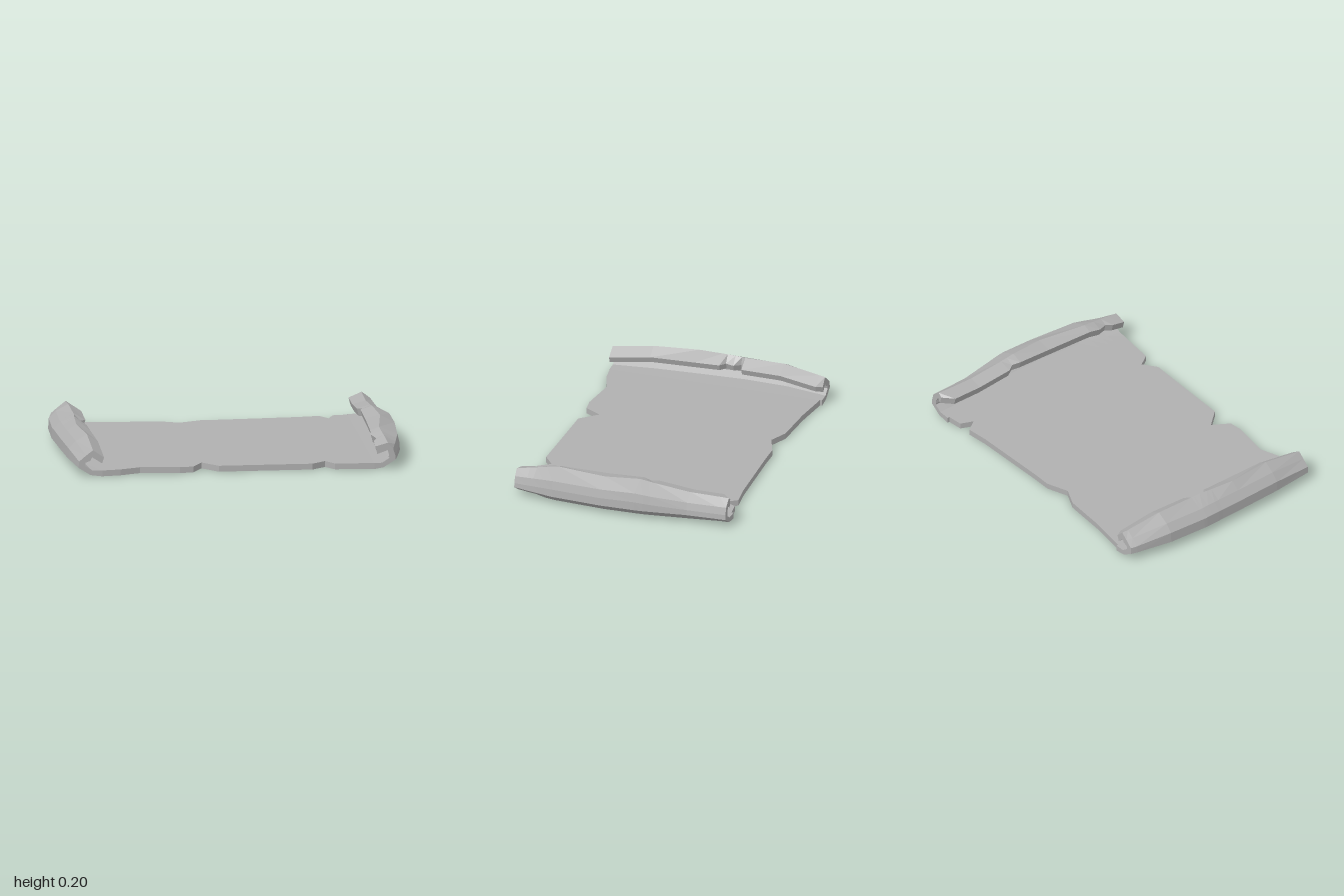
import * as THREE from 'three';

const paper = new THREE.MeshStandardMaterial({ color: 0xb0b0b0 });
paper.name = 'greyPaper';

// Flat sheet with torn notches; outline in (x, z)
function makeSheet() {
  const outline = [
    [-0.8, 0.65], [-0.69, 0.635], [-0.57, 0.59], [-0.34, 0.62], [-0.26, 0.61], [-0.2, 0.51],
    [-0.11, 0.61], [0.2, 0.615], [0.44, 0.62], [0.52, 0.56], [0.57, 0.63], [0.8, 0.65],
    [0.8, -0.645], [0.71, -0.635], [0.68, -0.56], [0.63, -0.63], [0.5, -0.615], [0.05, -0.6],
    [-0.07, -0.6], [-0.2, -0.55], [-0.31, -0.6], [-0.57, -0.615], [-0.8, -0.645],
  ];
  const shape = new THREE.Shape(outline.map(([x, z]) => new THREE.Vector2(x, -z)));
  const geo = new THREE.ExtrudeGeometry(shape, { depth: 0.035, bevelEnabled: false });
  geo.rotateX(-Math.PI / 2);
  return geo;
}

// Closed strip cross-section of a curl: outer face out and up to the tip, inner face back
function curlRing([z, o, r, ry, t], style) {
  const k = ry / 0.205;
  const side = style.side * k, shoulder = style.shoulder * k;
  const lift = Math.abs(z) > 0.5 ? 0.01 : 0.002;
  const sx = o - style.inset;
  const outer = [
    [0.8, 0], [o - 0.07, lift], [o, 0.055], [o - 0.003, side],
    [sx, shoulder], [r, ry], [t, ry - style.tipDrop],
  ];
  const inner = [
    [0.8, 0.035], [o - 0.08, 0.037], [o - 0.037, 0.065], [o - 0.042, side - 0.008],
    [sx - 0.025, shoulder - 0.032], [r + 0.005, ry - 0.042],
    [Math.min(t + 0.012, r + 0.004), ry - style.tipDrop - style.tipThick],
  ];
  return [...outer, ...inner.reverse()].map(([x, y]) => [x, y, z]);
}

// Loft the rings along z, sign mirrors the curl to either side
function makeCurl(sections, style, sign) {
  const rings = sections.map((s) => curlRing(s, style));
  const n = rings[0].length, pos = [], index = [];
  for (const ring of rings) for (const [x, y, z] of ring) pos.push(x * sign, y, z);
  const quad = (a, b, c, d) =>
    sign > 0 ? index.push(a, b, c, a, c, d) : index.push(a, c, b, a, d, c);
  for (let s = 0; s < rings.length - 1; s++) {
    for (let i = 0; i < n; i++) {
      const j = (i + 1) % n, a = s * n, b = a + n;
      quad(a + i, a + j, b + j, b + i);
    }
  }
  // End caps across the paper thickness
  const last = (rings.length - 1) * n;
  for (let i = 0; i < n / 2 - 1; i++) {
    quad(last + i, last + i + 1, last + n - 2 - i, last + n - 1 - i);
    quad(n - 1 - i, n - 2 - i, i + 1, i);
  }
  let geo = new THREE.BufferGeometry();
  geo.setAttribute('position', new THREE.Float32BufferAttribute(pos, 3));
  geo.setIndex(index);
  geo = geo.toNonIndexed();
  geo.computeVertexNormals();
  return geo;
}

export function createModel() {
  const group = new THREE.Group();
  group.name = 'scroll';
  const add = (name, geo) => {
    const mesh = new THREE.Mesh(geo, paper);
    mesh.name = name;
    group.add(mesh);
  };

  add('sheet', makeSheet());

  // Sections: z, outer x, ridge x, ridge height, tip x
  const rightSections = [
    [-0.658, 0.94, 0.855, 0.16, 0.81], [-0.62, 0.95, 0.86, 0.165, 0.79],
    [-0.4, 0.99, 0.872, 0.2, 0.795], [-0.16, 1, 0.872, 0.2, 0.8],
    [-0.14, 1, 0.873, 0.201, 0.86], [-0.1, 0.998, 0.875, 0.203, 0.83],
    [-0.05, 0.996, 0.879, 0.203, 0.845], [-0.02, 0.994, 0.882, 0.202, 0.81],
    [0.13, 0.987, 0.89, 0.2, 0.805], [0.4, 0.97, 0.86, 0.197, 0.795],
    [0.652, 0.94, 0.855, 0.158, 0.79],
  ];
  const leftSections = [
    [-0.658, 0.95, 0.885, 0.167, 0.86], [-0.6, 0.952, 0.882, 0.167, 0.8],
    [-0.42, 0.96, 0.88, 0.168, 0.8], [-0.2, 0.988, 0.88, 0.192, 0.8],
    [-0.16, 0.993, 0.88, 0.198, 0.825], [-0.11, 0.996, 0.88, 0.205, 0.81],
    [0.1, 1, 0.9, 0.198, 0.812], [0.4, 0.98, 0.857, 0.196, 0.805],
    [0.47, 0.966, 0.862, 0.186, 0.8], [0.53, 0.953, 0.868, 0.176, 0.825],
    [0.57, 0.945, 0.872, 0.17, 0.805], [0.652, 0.925, 0.878, 0.155, 0.805],
  ];
  add('rightCurl', makeCurl(rightSections,
    { side: 0.12, shoulder: 0.165, inset: 0.045, tipDrop: 0.045, tipThick: 0.035 }, -1));
  add('leftCurl', makeCurl(leftSections,
    { side: 0.105, shoulder: 0.157, inset: 0.015, tipDrop: 0.02, tipThick: 0.045 }, 1));
  return group;
}
